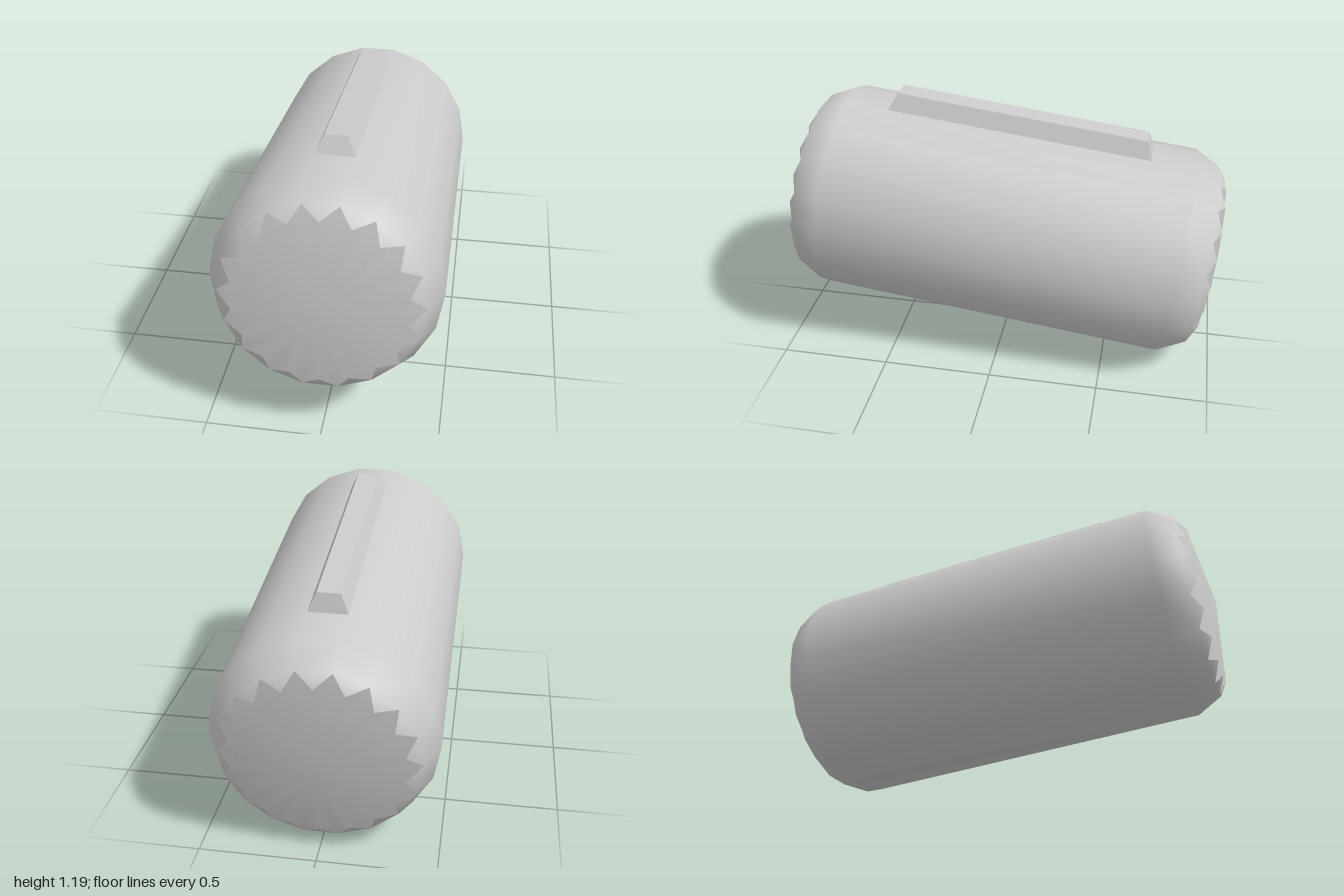
import * as THREE from 'three';

const SIDES = 18;
const TILT = THREE.MathUtils.degToRad(7);
const grey = () => new THREE.MeshStandardMaterial({ color: 0xcccccc });

// Ring of points around the z axis, optionally turned by part of a side
function ring(radius, z, shift = 0) {
  return Array.from({ length: SIDES }, (_, i) => {
    const a = ((i + shift) / SIDES) * Math.PI * 2;
    return [radius * Math.cos(a), radius * Math.sin(a), z];
  });
}

function meshFrom(name, points, index) {
  const geometry = new THREE.BufferGeometry();
  geometry.setAttribute('position', new THREE.Float32BufferAttribute(points.flat(), 3));
  geometry.setIndex(index);
  geometry.computeVertexNormals();
  const mesh = new THREE.Mesh(geometry, grey());
  mesh.name = name;
  return mesh;
}

// Rings shared by the shell and the end caps
const tips = (s) => ring(0.424, 0.923 * s);
const notches = (s) => ring(0.362, 0.961 * s, 0.5);

// Smooth barrel with bevelled shoulders and a rim of small triangles at each end
function makeShell() {
  const rings = [tips(-1), ring(0.485, -0.805), ring(0.485, 0.805), tips(1), notches(-1), notches(1)];
  const at = (r, i) => r * SIDES + (i % SIDES);
  const index = [];
  for (let i = 0; i < SIDES; i++) {
    for (let r = 0; r < 3; r++) {
      index.push(at(r, i), at(r, i + 1), at(r + 1, i + 1));
      index.push(at(r, i), at(r + 1, i + 1), at(r + 1, i));
    }
    index.push(at(0, i + 1), at(0, i), at(4, i));
    index.push(at(3, i), at(3, i + 1), at(5, i));
  }
  return meshFrom('barrelShell', rings.flat(), index);
}

// Shallow star-shaped cone closing one end (s = 1 front, -1 back)
function makeCap(name, s) {
  const points = [[0, 0, 1.007 * s], ...tips(s), ...notches(s)];
  const index = [];
  for (let i = 0; i < SIDES; i++) {
    const tip = 1 + i, next = 1 + ((i + 1) % SIDES), notch = 1 + SIDES + i;
    if (s > 0) index.push(0, tip, notch, 0, notch, next);
    else index.push(0, notch, tip, 0, next, notch);
  }
  return meshFrom(name, points, index);
}

// Bar with sloping sides rising from the top flat of the barrel
function makeRail() {
  const geometry = new THREE.BoxGeometry(2, 1, 2);
  const pos = geometry.attributes.position;
  for (let i = 0; i < pos.count; i++) {
    const top = pos.getY(i) > 0;
    pos.setXYZ(i,
      pos.getX(i) * (top ? 0.05 : 0.084),
      top ? 0.553 : 0.4776,
      pos.getZ(i) * (top ? 0.57 : 0.603));
  }
  geometry.computeVertexNormals();
  const mesh = new THREE.Mesh(geometry, grey());
  mesh.name = 'topRail';
  return mesh;
}

export function createModel() {
  const model = new THREE.Group();
  model.name = 'barrelModel';

  // Everything leans together, front end raised
  const barrel = new THREE.Group();
  barrel.name = 'tiltedBarrel';
  barrel.add(makeShell(), makeCap('frontCap', 1), makeCap('backCap', -1), makeRail());
  barrel.rotation.x = -TILT;
  barrel.position.y = 0.577;
  model.add(barrel);
  return model;
}
